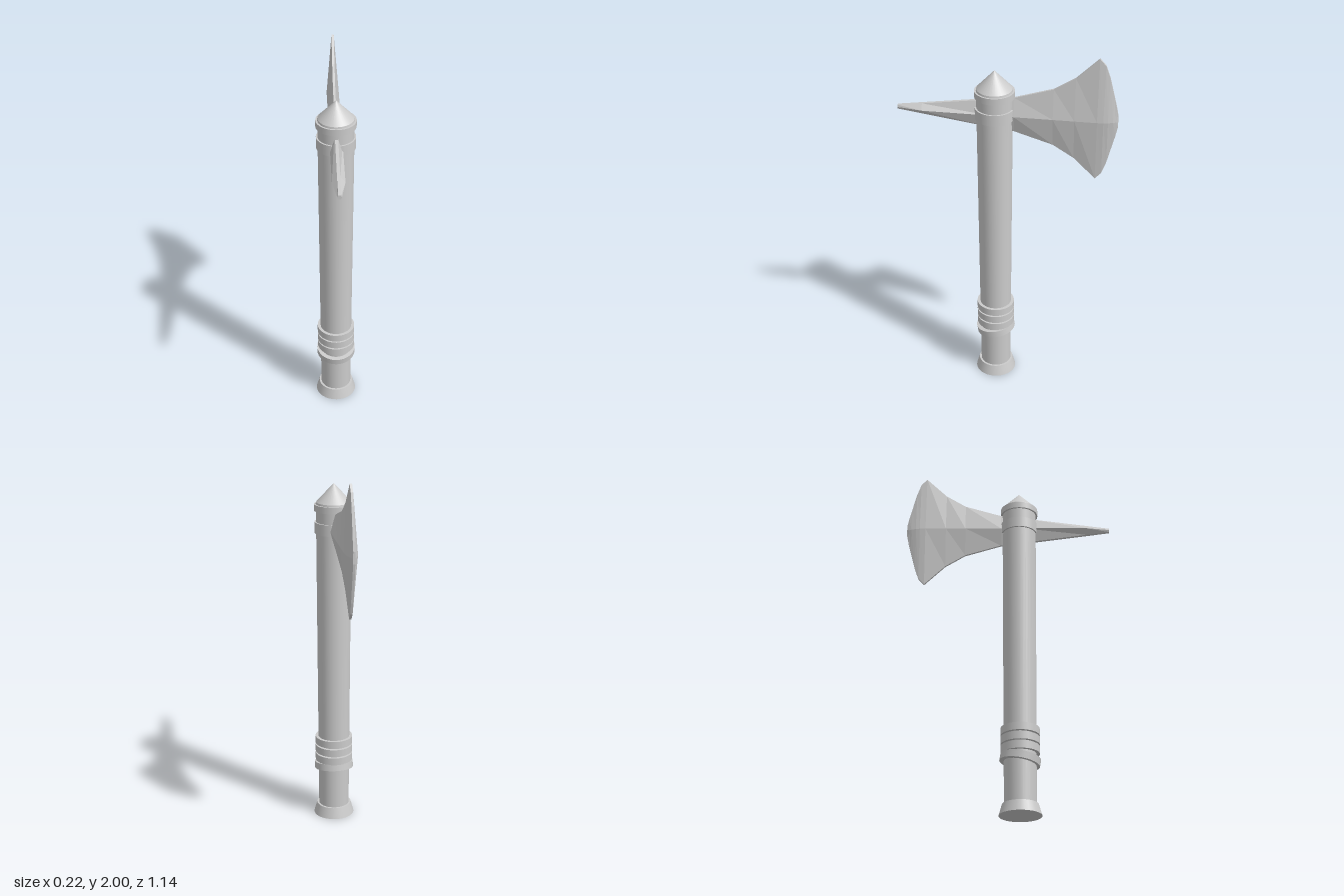
import * as THREE from 'three';

const mat = new THREE.MeshStandardMaterial({ color: 0xcccccc });
const flat = new THREE.MeshStandardMaterial({ color: 0xcccccc, flatShading: true });
const AXIS_Z = 0.063, HEAD_Y = 1.66;

// Upright turned part between two heights
function turned(name, y0, y1, r0, r1) {
  const m = new THREE.Mesh(new THREE.CylinderGeometry(r1, r0, y1 - y0, 32), mat);
  m.name = name;
  m.position.set(0, (y0 + y1) / 2, AXIS_Z);
  return m;
}

// Ridged loft along z; each section is [z, half height, half ridge width, half edge width], z rising
function ridgedLoft(name, sections) {
  const pos = [], idx = [];
  for (const [z, h, t, e] of sections) {
    for (const [x, y] of [[t, 0], [e, h], [-e, h], [-t, 0], [-e, -h], [e, -h]]) pos.push(x, y, z);
  }
  const last = (sections.length - 1) * 6;
  for (let s = 0; s < last; s += 6) {
    for (let i = 0; i < 6; i++) {
      const j = (i + 1) % 6;
      idx.push(s + i, s + j, s + 6 + j, s + i, s + 6 + j, s + 6 + i);
    }
  }
  for (let i = 1; i < 5; i++) idx.push(0, i + 1, i, last, last + i, last + i + 1);
  const g = new THREE.BufferGeometry();
  g.setAttribute('position', new THREE.Float32BufferAttribute(pos, 3));
  g.setIndex(idx);
  const geo = g.toNonIndexed();
  geo.computeVertexNormals();
  const m = new THREE.Mesh(geo, flat);
  m.name = name;
  m.position.y = HEAD_Y;
  return m;
}

export function createModel() {
  const group = new THREE.Group();
  group.name = 'battleAxe';

  // Handle, pommel and pointed cap
  group.add(
    turned('pommel', 0, 0.06, 0.112, 0.095),
    turned('handle', 0.05, 1.76, 0.084, 0.094),
    turned('headCollar', 1.635, 1.695, 0.102, 0.102),
    turned('capRing', 1.755, 1.79, 0.104, 0.104),
    turned('capBase', 1.79, 1.8, 0.095, 0.093),
    turned('capPoint', 1.8, 1.9, 0.093, 0)
  );

  // Grip bands, the lowest one slipped at an angle
  for (const y of [0.33, 0.38, 0.43]) group.add(turned('gripBand', y, y + 0.041, 0.103, 0.103));
  const loose = turned('looseBand', 0.278, 0.316, 0.107, 0.107);
  loose.rotation.x = 0.17;
  group.add(loose);

  // Flared axe blade, thick along its middle ridge
  group.add(ridgedLoft('blade', [
    [-0.57, 0.03, 0.006, 0.005],
    [-0.56, 0.08, 0.012, 0.006],
    [-0.545, 0.14, 0.019, 0.006],
    [-0.52, 0.24, 0.027, 0.006],
    [-0.497, 0.305, 0.031, 0.006],
    [-0.465, 0.34, 0.033, 0.006],
    [-0.35, 0.227, 0.033, 0.006],
    [-0.24, 0.158, 0.033, 0.006],
    [-0.04, 0.096, 0.033, 0.006],
    [0.03, 0.085, 0.033, 0.006]
  ]));

  // Spike opposite the blade
  group.add(ridgedLoft('spike', [
    [0.08, 0.08, 0.033, 0.008],
    [0.44, 0.029, 0.033, 0.008],
    [0.57, 0.011, 0.011, 0.007]
  ]));

  return group;
}
